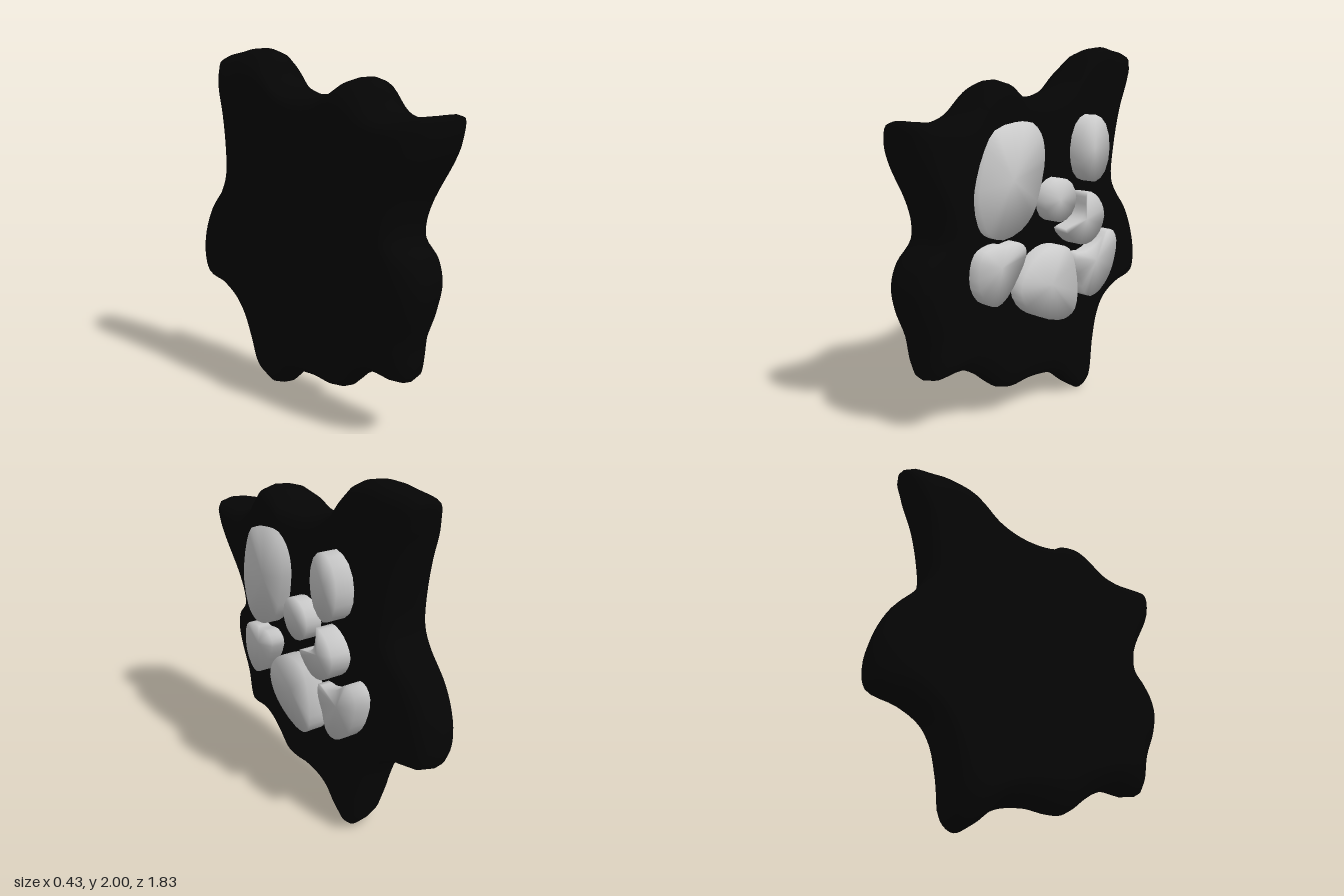
import * as THREE from 'three';
import { mergeVertices } from 'three/addons/utils/BufferGeometryUtils.js';

const grey = new THREE.MeshStandardMaterial({ color: 0xcccccc });
const black = new THREE.MeshStandardMaterial({ color: 0x050505 });

// Closed smooth loop through [z, y] points
function smoothLoop(points, perPoint) {
  const pts = points.map(([z, y]) => new THREE.Vector3(0, y, z));
  const curve = new THREE.CatmullRomCurve3(pts, true, 'centripetal');
  return curve.getPoints(points.length * perPoint).slice(0, -1);
}

// Smooth skin over rings of equal length, ordered from the padded side (+x) backwards
function loft(name, rings, material) {
  const n = rings[0].length, index = [];
  for (let i = 0; i < rings.length - 1; i++) {
    for (let j = 0; j < n; j++) {
      const a = i * n + j, b = i * n + (j + 1) % n;
      index.push(a, b, b + n, a, b + n, a + n);
    }
  }
  let geo = new THREE.BufferGeometry().setFromPoints(rings.flat());
  geo.setIndex(index);
  geo = mergeVertices(geo);
  geo.computeVertexNormals();
  const mesh = new THREE.Mesh(geo, material);
  mesh.name = name;
  return mesh;
}

// Splat-shaped slab: scaled copies of the outline, softened towards the plain side
function createBody() {
  const outline = smoothLoop([
    [-.78, 1.95], [-.77, 1.87], [-.7, 1.69], [-.65, 1.45], [-.64, 1.26], [-.69, 1.17],
    [-.8, 1.05], [-.88, .89], [-.91, .73], [-.88, .62], [-.7, .57], [-.57, .5],
    [-.5, .4], [-.45, .23], [-.41, .05], [-.33, 0], [-.25, .04], [-.17, .11],
    [-.09, .145], [.08, .16], [.22, .145], [.29, .16], [.39, .24], [.47, .29],
    [.565, .32], [.745, .31], [.77, .355], [.79, .51], [.85, .67], [.87, .8],
    [.83, .92], [.735, 1.02], [.73, 1.11], [.77, 1.23], [.88, 1.43], [.915, 1.53],
    [.91, 1.63], [.85, 1.63], [.66, 1.62], [.555, 1.655], [.43, 1.78], [.35, 1.82],
    [.27, 1.8], [.2, 1.75], [.05, 1.73], [-.1, 1.75], [-.23, 1.81], [-.33, 1.92],
    [-.395, 1.975], [-.51, 2], [-.63, 1.985],
  ], 4);
  const n = outline.length, reach = 9;
  const softened = outline.map((_, j) => {
    const sum = new THREE.Vector3();
    for (let k = -reach; k <= reach; k++) sum.add(outline[(j + k + n) % n]);
    return sum.divideScalar(2 * reach + 1);
  });
  // [scale, depth]: depth 1 is the padded face, 0 the rim, -1 the plain face
  const profile = [[0, 1], [.3, 1], [.6, 1], [.86, 1], [.94, .92], [.98, .65], [1, .1],
    [.995, -.25], [.975, -.55], [.92, -.85], [.84, -1], [.4, -1], [0, -1]];
  const rings = profile.map(([scale, depth]) => outline.map((p, j) => {
    const soften = depth < 0 ? Math.min(1, (1 - scale) * 4) : 0;
    const q = p.clone().lerp(softened[j], soften);
    const z = q.z * scale, h = (q.y - 1) * scale;
    const rim = -.07 + .04 * z + .02 * h + .15 * h * h + .08 * z * h;
    const face = depth > 0
      ? .135 + .06 * z - .04 * z * z + .04 * h + .03 * h * h + .06 * z * h
      : -.17 + .02 * z - .05 * z * z + .03 * h * h;
    return new THREE.Vector3(THREE.MathUtils.lerp(rim, face, Math.abs(depth)), 1 + h, z);
  }));
  return loft('splatBody', rings, black);
}

// Flat-topped raised pad with blended normals, its foot sunk in the body
function createPad(name, points, top = .222) {
  const outline = smoothLoop(points, 2);
  const centre = new THREE.Vector3();
  outline.forEach(p => centre.add(p));
  centre.divideScalar(outline.length).setX(top);
  return loft(name, [
    outline.map(() => centre.clone()),
    outline.map(p => p.clone().setX(top)),
    outline.map(p => p.clone().setX(.05)),
  ], grey);
}

function ellipse(z, y, rz, ry) {
  return Array.from({ length: 8 }, (_, i) => {
    const a = i / 8 * Math.PI * 2;
    return [z + rz * Math.cos(a), y + ry * Math.sin(a)];
  });
}

export function createModel() {
  const group = new THREE.Group();
  group.name = 'splatWithPads';
  group.add(createBody());

  group.add(createPad('largePad', [[.43, 1.575], [.29, 1.61], [.19, 1.605], [.13, 1.55], [.105, 1.48],
    [.105, 1.38], [.155, 1.2], [.19, 1.13], [.27, 1.06], [.395, 1.025], [.47, 1.05], [.51, 1.1],
    [.545, 1.23], [.535, 1.34], [.49, 1.485]]));
  group.add(createPad('ovalPad', ellipse(-.29, 1.445, .12, .185)));
  group.add(createPad('roundPad', ellipse(-.02, 1.185, .12, .12)));
  group.add(createPad('crescentPad', [[-.23, 1.21], [-.295, 1.19], [-.35, 1.135], [-.375, 1.06],
    [-.335, .97], [-.27, .925], [-.18, .92], [-.105, .965], [-.06, 1.02], [-.135, 1.04],
    [-.2, 1.08], [-.22, 1.14]]));
  group.add(createPad('frontLowerPad', [[.48, .99], [.405, 1], [.365, .99], [.29, 1], [.24, .965],
    [.235, .92], [.29, .82], [.37, .72], [.44, .685], [.5, .71], [.55, .79], [.555, .89], [.53, .96]]));
  group.add(createPad('centreLowerPad', [[.09, .93], [-.01, .94], [-.09, .91], [-.135, .82],
    [-.16, .65], [-.14, .56], [-.09, .525], [-.01, .52], [.14, .57], [.23, .64], [.27, .73],
    [.245, .81], [.18, .88]]));
  group.add(createPad('rearLowerPad', [[-.45, .965], [-.5, .95], [-.53, .89], [-.515, .79],
    [-.47, .69], [-.39, .615], [-.31, .59], [-.255, .62], [-.225, .705], [-.185, .785],
    [-.19, .86], [-.26, .86], [-.35, .89], [-.405, .93]], .185));
  return group;
}
